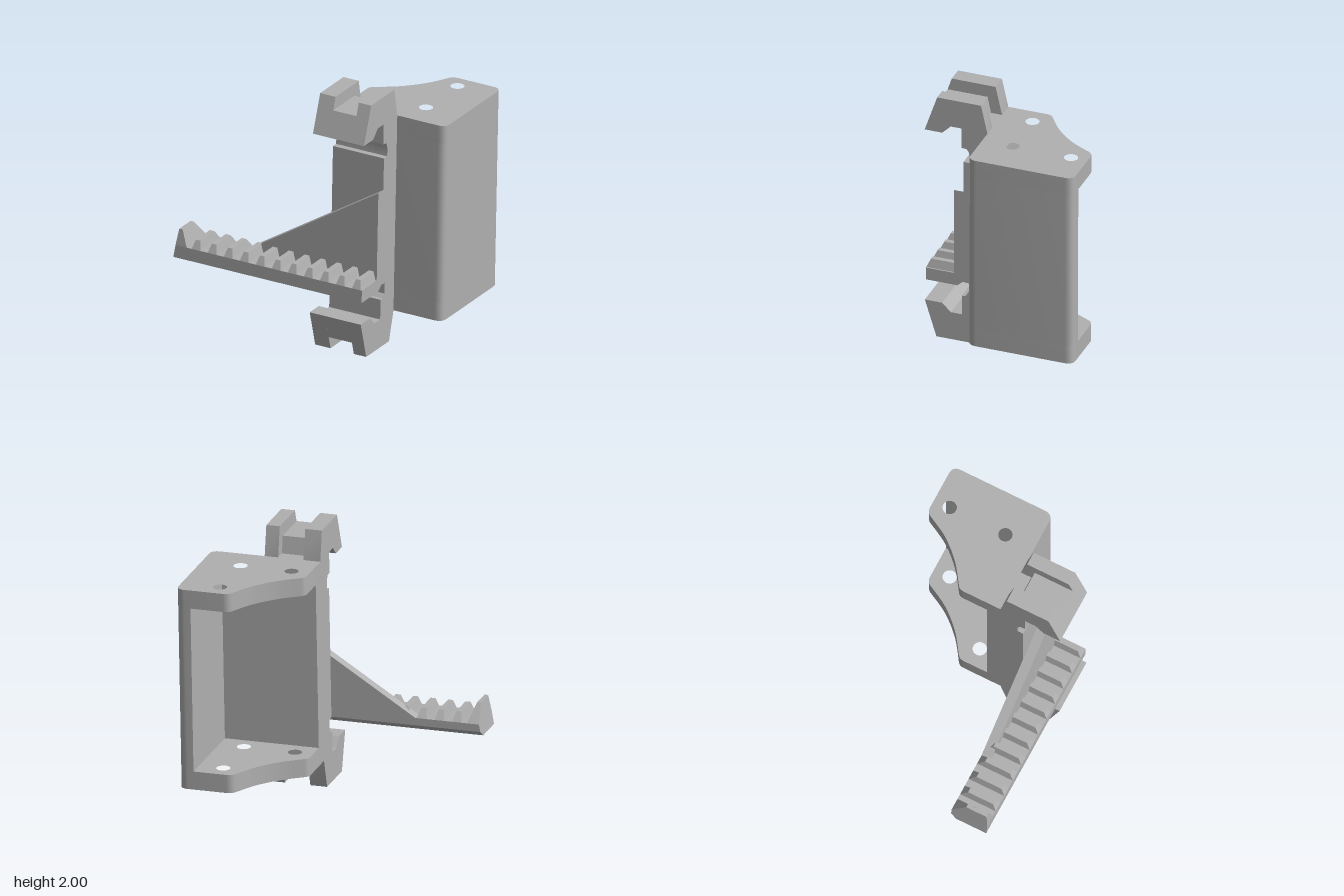
import * as THREE from 'three';
import { toCreasedNormals } from 'three/addons/utils/BufferGeometryUtils.js';

const V = (pts) => pts.map(([a, b]) => new THREE.Vector2(a, b));
const extrude = (shape, depth) => new THREE.ExtrudeGeometry(shape, { depth, bevelEnabled: false, curveSegments: 10 });

// (z, y) profile swept along x
function prismX(pts, x0, x1) {
  const g = extrude(new THREE.Shape(V(pts)), x1 - x0);
  return g.rotateY(-Math.PI / 2).translate(x1, 0, 0);
}
// (x, z) plan raised from y0 to y1
function prismY(shape, y0, y1) {
  return extrude(shape, y1 - y0).rotateX(Math.PI / 2).translate(0, y1, 0);
}
// (x, y) outline whose near and far z depend on height
function prismZ(pts, back, front) {
  const g = extrude(new THREE.Shape(V(pts)), 1);
  const p = g.attributes.position;
  for (let i = 0; i < p.count; i++) p.setZ(i, p.getZ(i) > 0.5 ? front(p.getY(i)) : back(p.getY(i)));
  g.computeVertexNormals();
  return g;
}

export function createModel() {
  const model = new THREE.Group();
  model.name = 'bracket';
  const grey = new THREE.MeshStandardMaterial({ color: 0xb0b0b0 });
  grey.name = 'grey plastic';

  // The whole part leans slightly about its centre
  const tilt = new THREE.Group();
  tilt.name = 'tiltedBody';
  tilt.position.y = 1;
  tilt.rotation.set(-0.008, -0.01, -0.016);
  model.add(tilt);
  const add = (name, geo) => {
    const m = new THREE.Mesh(toCreasedNormals(geo, 0.5), grey);
    m.name = name;
    m.position.y = -1;
    tilt.add(m);
  };

  // Housing: end plates with screw holes
  const X0 = 0.15, X1 = 0.978, Z0 = -0.657, Z1 = 0.16, R = 0.065;
  const Y0 = 0.235, Y1 = 1.777, T = 0.14, W = 0.11;
  const plate = new THREE.Shape();
  plate.moveTo(X0, Z1);
  plate.lineTo(X1 - R, Z1);
  plate.quadraticCurveTo(X1, Z1, X1, Z1 - R);
  plate.lineTo(X1, Z0 + R);
  plate.quadraticCurveTo(X1, Z0, X1 - R, Z0);
  plate.lineTo(0.62, Z0);
  plate.quadraticCurveTo(0.58, Z0, 0.56, -0.625);
  plate.splineThru(V([[0.465, -0.455], [0.33, -0.305], [0.175, -0.192]]));
  plate.quadraticCurveTo(X0, -0.175, X0, -0.14);
  plate.closePath();
  for (const [x, z] of [[0.683, -0.53], [0.288, -0.08], [0.68, -0.075]]) {
    const hole = new THREE.Path();
    hole.absarc(x, z, 0.052, 0, Math.PI * 2, true);
    plate.holes.push(hole);
  }
  add('bottomPlate', prismY(plate, Y0, Y0 + T));
  add('topPlate', prismY(plate, Y1 - T, Y1));

  // Housing: front and side walls as one L
  const wall = new THREE.Shape();
  wall.moveTo(X0, Z1);
  wall.lineTo(X1 - R, Z1);
  wall.quadraticCurveTo(X1, Z1, X1, Z1 - R);
  wall.lineTo(X1, Z0 + R);
  wall.quadraticCurveTo(X1, Z0, X1 - R, Z0);
  wall.lineTo(X1 - W, Z0);
  wall.lineTo(X1 - W, Z1 - W);
  wall.lineTo(X0, Z1 - W);
  wall.closePath();
  add('housingWalls', prismY(wall, Y0 + T, Y1 - T));

  // Spine with a hook at each end; the middle strip is recessed to form the slots
  const lowerFront = [
    [0.642, 0.3], [0.508, 0.3], [0.44, 0.235], [0.355, 0.235], [0.355, 0.39], [0.328, 0.392],
    [0.3, 0.42], [0.3, 0.503], [0.345, 0.505]];
  const upperFront = [
    [0.345, 1.505], [0.3, 1.505], [0.296, 1.56], [0.303, 1.59], [0.318, 1.615], [0.36, 1.62],
    [0.36, 1.78], [0.444, 1.78], [0.51, 1.715], [0.646, 1.715]];
  const sideProfile = [
    [0.55, 2], [0.21, 2], [Z1, Y1], [Z1, Y0], [0.218, 0.012], [0.552, 0.012],
    ...lowerFront, ...upperFront];
  const midProfile = [
    [0.582, 1.905], [0.272, 1.905], [0.245, Y1], [Z1, Y1], [Z1, Y0], [0.245, Y0], [0.275, 0.112],
    [0.583, 0.112], ...lowerFront, ...upperFront];
  const S0 = 0.278, S1 = 0.472, S2 = 0.575;
  add('spineRight', prismX(sideProfile, X0, S0));
  add('spineMiddle', prismX(midProfile, S0, S1));
  add('spineLeft', prismX(sideProfile, S1, S2));

  // Rack bar, its free end leaning outward at the foot
  const base = 0.469, valley = 0.567, end = -0.994;
  const bar = prismX([[0.635, base], [0.635, valley], [0.345, valley], [0.345, 0.51], [0.39, base]], end, S2);
  const p = bar.attributes.position;
  for (let i = 0; i < p.count; i++) if (p.getX(i) < 0) p.setX(i, end + (p.getY(i) - base) * 0.16);
  bar.computeVertexNormals();
  add('rackBar', bar);

  // Rack teeth, bevelled front and back
  const toothBack = (y) => 0.345 + (y - valley) * 0.85;
  const toothFront = (y) => 0.635 - (y - valley) * 0.45;
  for (let i = 0; i < 11; i++) {
    const x = -0.808 + i * 0.1336;
    add('rackTooth', prismZ([[x - 0.036, valley], [x + 0.036, valley], [x + 0.019, 0.633], [x - 0.019, 0.633]],
      toothBack, toothFront));
  }
  // Taller stop tooth at the free end
  add('endTooth', prismZ([[end + 0.0157, valley], [-0.886, valley], [-0.93, 0.695], [-0.958, 0.695]],
    toothBack, (y) => 0.635 - (y - valley) * 0.12));

  // Triangular gusset behind the teeth
  add('gusset', prismZ([[-0.494, valley], [S2, 0.51], [S2, 1.257]], () => 0.343, () => 0.418));

  return model;
}
